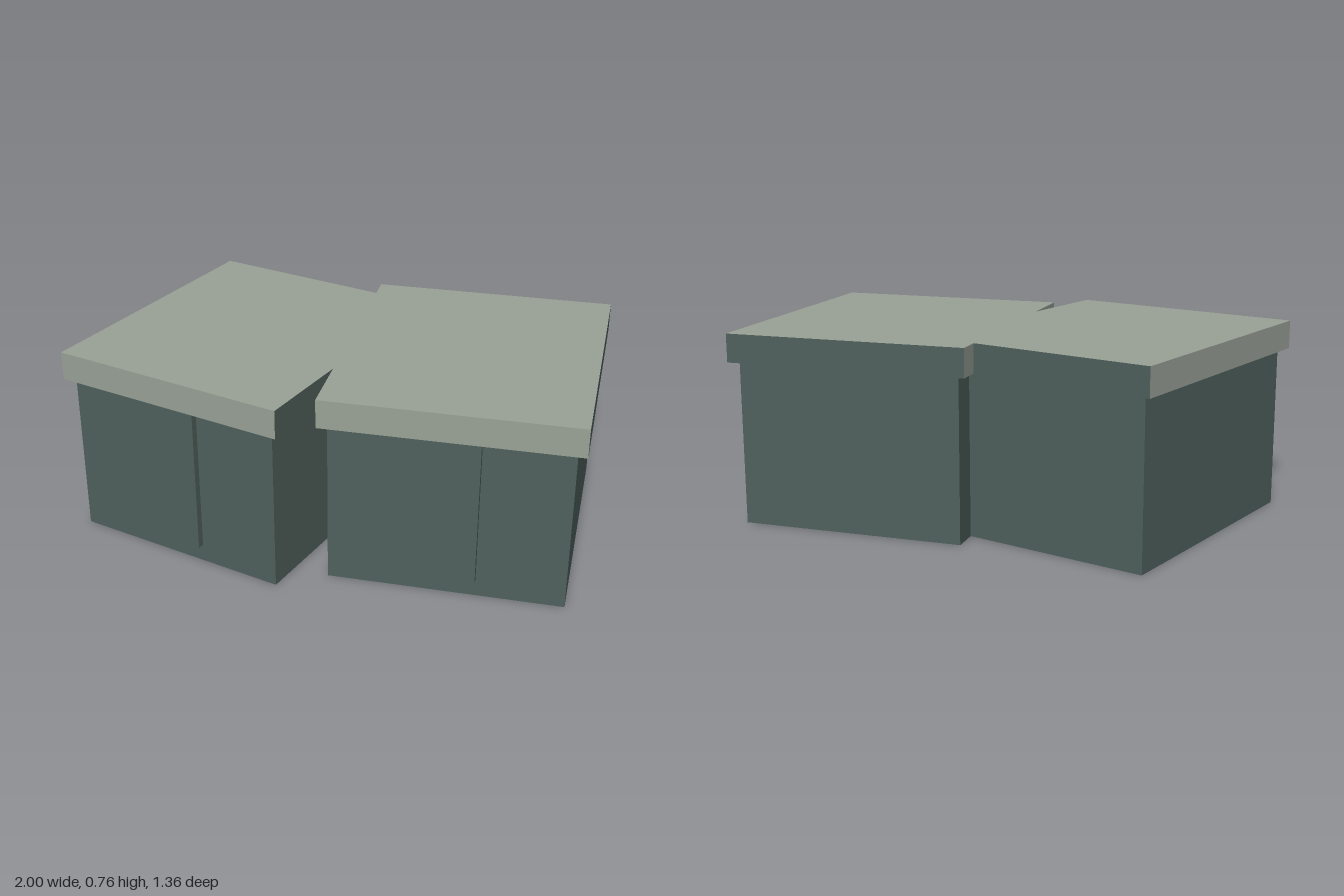
import * as THREE from 'three';

const WALL = { w: 0.893, h: 0.645, d: 1.06 };
const ROOF = { w: 0.962, h: 0.112, d: 1.125 };
const DOOR = { w: 0.23, h: 0.575, d: 0.06, proud: 0.026 };

export function createModel() {
  const wallGreen = new THREE.MeshStandardMaterial({ color: 0x50615d });
  wallGreen.name = 'wallGreen';
  const roofGrey = new THREE.MeshStandardMaterial({ color: 0x9aa398 });
  roofGrey.name = 'roofGrey';

  const box = (name, size, y, z, material) => {
    const mesh = new THREE.Mesh(new THREE.BoxGeometry(size.w, size.h, size.d), material);
    mesh.name = name;
    mesh.position.set(0, y, z);
    return mesh;
  };

  // One block: walls, a raised front door panel and an overhanging flat roof
  const makeBlock = (name, x, turn) => {
    const block = new THREE.Group();
    block.name = name;
    block.position.x = x;
    block.rotation.y = turn;
    // Roof faces in order +x, -x, top, bottom, front, back
    const roofFaces = [wallGreen, roofGrey, roofGrey, wallGreen, roofGrey, wallGreen];
    block.add(
      box('walls', WALL, WALL.h / 2, 0, wallGreen),
      box('door', DOOR, WALL.h - DOOR.h / 2, WALL.d / 2 + DOOR.proud - DOOR.d / 2, wallGreen),
      box('roof', ROOF, WALL.h + ROOF.h / 2, 0, roofFaces),
    );
    return block;
  };

  const model = new THREE.Group();
  model.name = 'twinBlockBuilding';
  model.add(
    makeBlock('straightBlock', 0.518, 0),
    makeBlock('turnedBlock', -0.375, THREE.MathUtils.degToRad(-17)),
  );
  return model;
}
